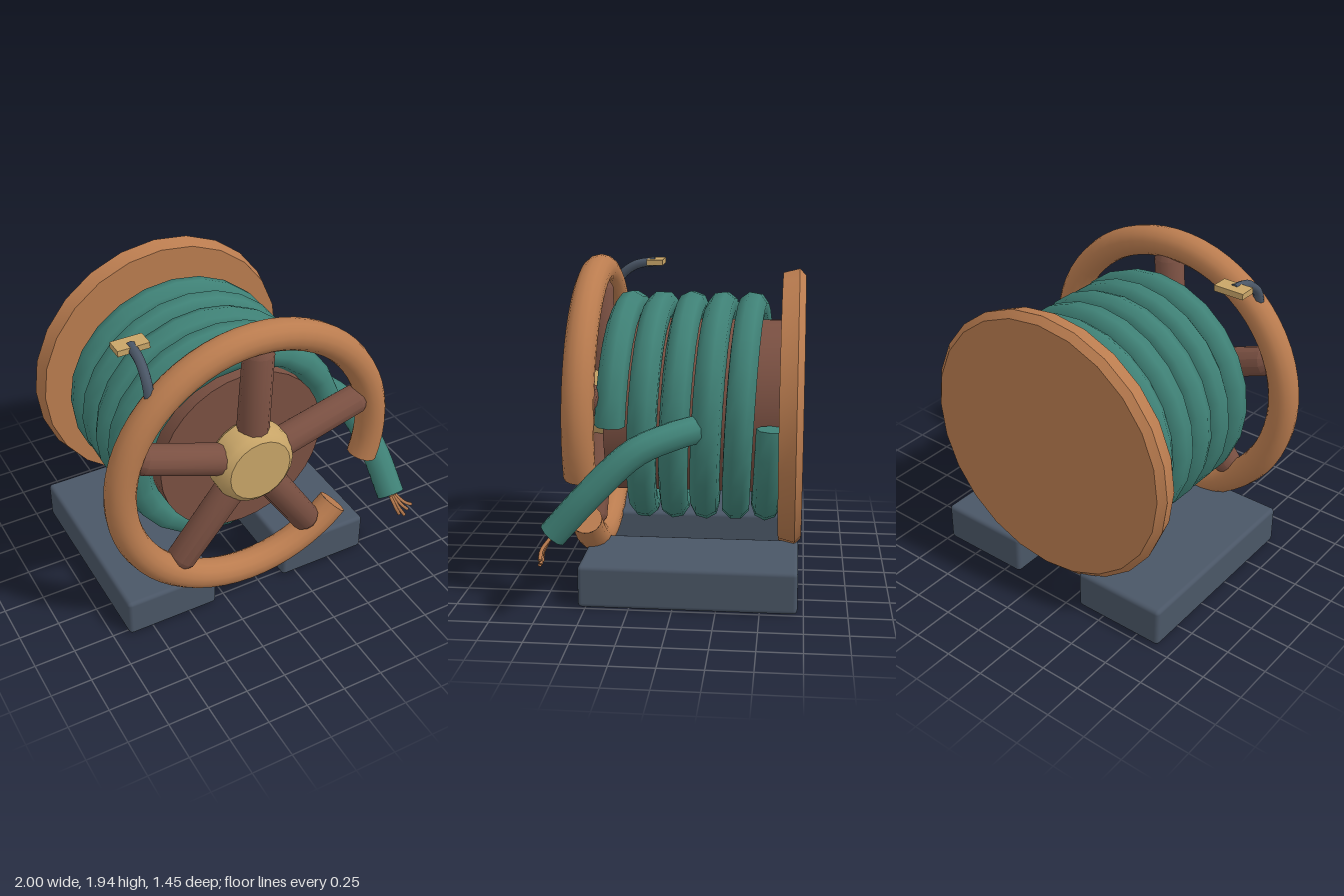
import * as THREE from 'three';
import { toCreasedNormals } from 'three/addons/utils/BufferGeometryUtils.js';
import { RoundedBoxGeometry } from 'three/addons/geometries/RoundedBoxGeometry.js';

const CX = -0.083, CY = 1.03; // reel axis

const mat = (name, color) => {
  const m = new THREE.MeshStandardMaterial({ color });
  m.name = name;
  return m;
};

const V = (x, y, z) => new THREE.Vector3(x, y, z);

function addMesh(parent, name, geometry, material) {
  const m = new THREE.Mesh(geometry, material);
  m.name = name;
  parent.add(m);
  return m;
}

// Closed lathe profile [radius, height] with crisp edges
function turned(points, segments) {
  const g = new THREE.LatheGeometry(points.map(([r, h]) => new THREE.Vector2(r, h)), segments);
  return toCreasedNormals(g, 0.55);
}

// Flat disc closing a tube end
function addCap(parent, name, point, normal, radius, sides, material) {
  const cap = addMesh(parent, name, new THREE.CircleGeometry(radius, sides), material);
  cap.position.copy(point);
  cap.quaternion.setFromUnitVectors(V(0, 0, 1), normal);
}

// Tube along a curve with both ends closed
function addTube(parent, name, curve, segments, radius, sides, material) {
  addMesh(parent, name, new THREE.TubeGeometry(curve, segments, radius, sides), material);
  addCap(parent, name + 'StartCap', curve.getPointAt(0), curve.getTangentAt(0).negate(), radius, sides, material);
  addCap(parent, name + 'EndCap', curve.getPointAt(1), curve.getTangentAt(1), radius, sides, material);
}

// Helix winding clockwise toward the front
class Coil extends THREE.Curve {
  getPoint(t, target = new THREE.Vector3()) {
    const a = -t * 5 * Math.PI * 2;
    return target.set(Math.cos(a) * 0.615, Math.sin(a) * 0.615, -0.549 + 0.925 * t);
  }
}

export function createModel() {
  const copper = mat('copper', 0xba7c4f);
  const brown = mat('dark brown', 0x7a5042);
  const teal = mat('teal', 0x3f8176);
  const slate = mat('slate', 0x4a5666);
  const brass = mat('brass', 0xc8a568);

  const model = new THREE.Group();
  model.name = 'hoseReel';
  const reel = new THREE.Group();
  reel.name = 'reel';
  reel.position.set(CX, CY, 0);
  model.add(reel);

  // Feet
  for (const [name, x] of [['rightFoot', -0.613], ['leftFoot', 0.45]]) {
    addMesh(model, name, new RoundedBoxGeometry(0.585, 0.25, 1.26, 2, 0.025), slate)
      .position.set(x, 0.127, -0.085);
  }

  // Drum and back flange
  const drum = addMesh(reel, 'drum', turned([[0, -0.6], [0.53, -0.6], [0.53, 0.43], [0, 0.43]], 32), brown);
  drum.rotation.x = Math.PI / 2;
  const flange = addMesh(reel, 'backFlange',
    turned([[0, -0.728], [0.805, -0.728], [0.845, -0.69], [0.82, -0.592], [0, -0.592]], 24), copper);
  flange.rotation.x = Math.PI / 2;

  // Broken front wheel, open at its lower left
  const from = THREE.MathUtils.degToRad(-17.7), to = THREE.MathUtils.degToRad(316.4);
  const wheel = new THREE.Group();
  wheel.name = 'frontWheel';
  wheel.position.z = 0.523;
  reel.add(wheel);
  addMesh(wheel, 'rim', new THREE.TorusGeometry(0.825, 0.092, 14, 56, to - from), copper).rotation.z = from;
  for (const [a, s] of [[from, -1], [to, 1]]) {
    addCap(wheel, 'rimCap', V(Math.cos(a) * 0.825, Math.sin(a) * 0.825, 0),
      V(-Math.sin(a) * s, Math.cos(a) * s, 0), 0.092, 14, copper);
  }

  // Spokes with chamfered tips
  const spokeGeo = turned([[0, 0.1], [0.096, 0.1], [0.09, 0.73], [0.055, 0.785], [0, 0.785]], 12);
  for (let i = 0; i < 5; i++) {
    const spoke = addMesh(wheel, 'spoke', spokeGeo, brown);
    spoke.rotation.z = THREE.MathUtils.degToRad(87 + i * 72 - 90);
  }

  // Hub
  const hub = addMesh(wheel, 'hub',
    turned([[0, -0.11], [0.2, -0.11], [0.25, -0.05], [0.25, 0.05], [0.23, 0.09], [0.195, 0.117], [0, 0.117]], 20), brass);
  hub.rotation.x = Math.PI / 2;

  // Wound hose and its loose end
  addTube(reel, 'hoseCoil', new Coil(), 120, 0.088, 8, teal);
  const loose = new THREE.CatmullRomCurve3([
    V(0.53, 1.02, -0.12), V(0.64, 1.01, -0.01), V(0.775, 0.94, 0.2), V(0.845, 0.72, 0.44), V(0.86, 0.48, 0.655),
  ]);
  addTube(model, 'looseHose', loose, 16, 0.084, 10, teal);

  // Frayed strands at the hose end
  const tips = [[0.905, 0.335, 0.705], [0.94, 0.32, 0.715], [0.97, 0.345, 0.7], [0.995, 0.375, 0.7]];
  tips.forEach(([x, y, z], i) => {
    const root = V(0.855 + i * 0.012, 0.47, 0.66);
    const mid = V((root.x + x) / 2 - 0.005, (root.y + y) / 2 - 0.005, 0.7);
    addTube(model, 'strand', new THREE.CatmullRomCurve3([root, mid, V(x, y, z)]), 6, 0.011, 6, copper);
  });

  // Crank arm and grip plate
  const arm = new THREE.CatmullRomCurve3([
    V(-0.7, 1.64, 0.52), V(-0.695, 1.75, 0.48), V(-0.685, 1.825, 0.38), V(-0.68, 1.848, 0.25),
  ]);
  addTube(model, 'crankArm', arm, 12, 0.03, 8, slate);
  addMesh(model, 'crankGrip', new THREE.BoxGeometry(0.19, 0.036, 0.105), brass).position.set(-0.68, 1.848, 0.247);

  return model;
}
